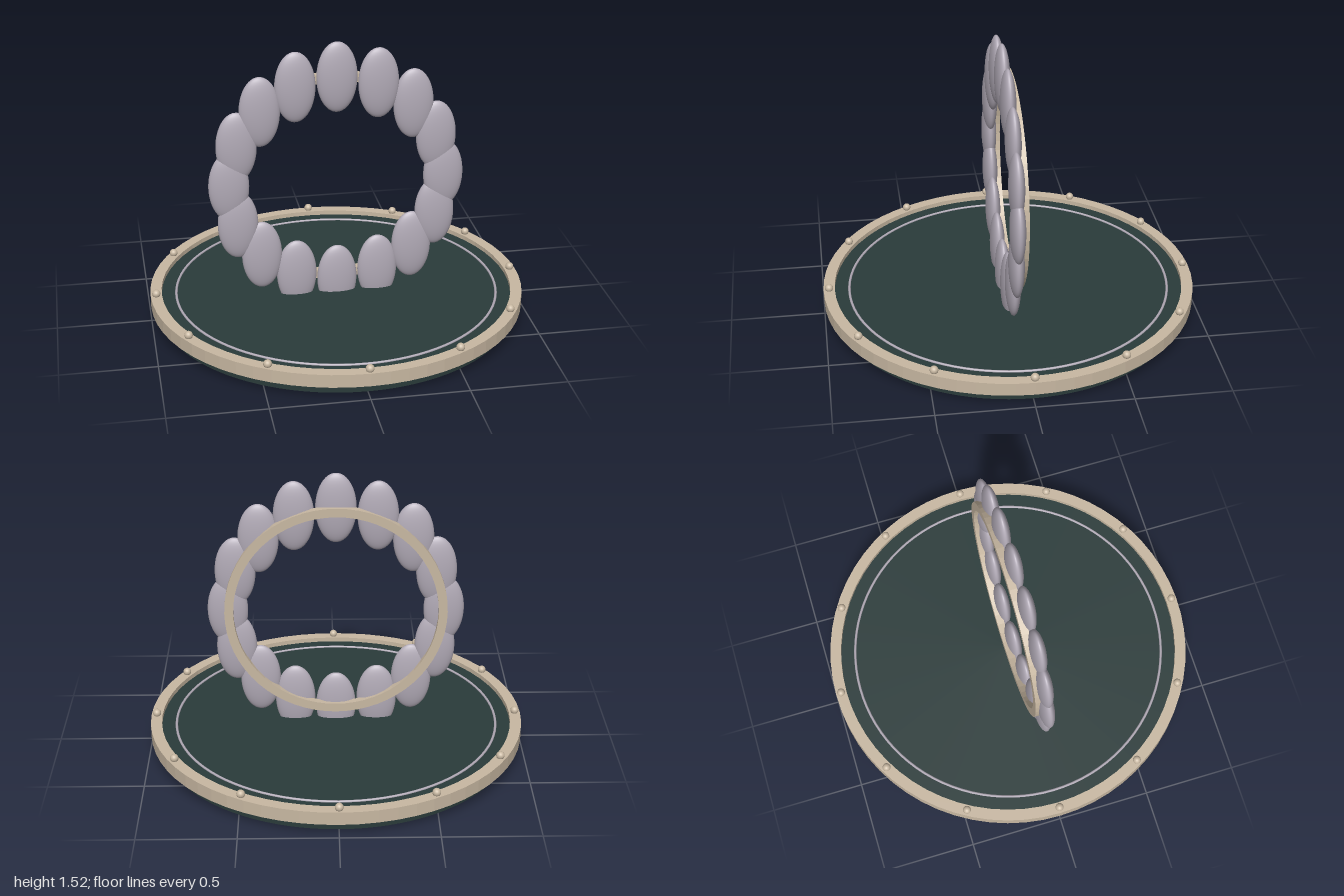
import * as THREE from 'three';

const green = new THREE.MeshStandardMaterial({ name: 'dark green', color: 0x2a3b3a });
const beige = new THREE.MeshStandardMaterial({ name: 'warm beige', color: 0xc8b8a2 });
const lilac = new THREE.MeshStandardMaterial({ name: 'grey lilac', color: 0xb1aab6 });

// Flat band with a rectangular section, extruded along +z
function band(outer, inner, depth, segments) {
  const shape = new THREE.Shape().absarc(0, 0, outer, 0, Math.PI * 2);
  shape.holes.push(new THREE.Path().absarc(0, 0, inner, 0, Math.PI * 2, true));
  return new THREE.ExtrudeGeometry(shape, { depth, bevelEnabled: false, curveSegments: segments });
}

export function createModel() {
  const model = new THREE.Group();
  model.name = 'petalRingOnTray';

  const add = (name, geometry, material, x = 0, y = 0, z = 0, parent = model) => {
    const mesh = new THREE.Mesh(geometry, material);
    mesh.name = name;
    mesh.position.set(x, y, z);
    parent.add(mesh);
    return mesh;
  };

  // Tray: dark disc, raised rim and thin inlaid ring
  add('trayDisc', new THREE.CylinderGeometry(0.953, 0.953, 0.1, 96), green, 0, 0.075, 0);
  add('trayRim', band(1, 0.94, 0.07, 32), beige, 0, 0.08, 0).rotation.x = -Math.PI / 2;
  model.getObjectByName('trayRim').position.y = 0.08;
  add('inlaidRing', new THREE.TorusGeometry(0.862, 0.007, 8, 96), lilac, 0, 0.127, 0).rotation.x = Math.PI / 2;

  // Studs around the rim
  const studs = new THREE.Group();
  studs.name = 'rimStuds';
  model.add(studs);
  const studGeometry = new THREE.SphereGeometry(0.022, 16, 12);
  for (let i = 0; i < 12; i++) {
    const a = (i / 12) * Math.PI * 2;
    add('rimStud', studGeometry, beige, Math.cos(a) * 0.97, 0.163, Math.sin(a) * 0.97, studs);
  }

  // Upright wreath of flattened, upright petals
  const centreY = 0.765;
  const petals = new THREE.Group();
  petals.name = 'petals';
  model.add(petals);
  const petalGeometry = new THREE.SphereGeometry(1, 32, 24).scale(0.107, 0.19, 0.04);
  for (let i = 0; i < 16; i++) {
    const a = (i / 16) * Math.PI * 2;
    add('petal', petalGeometry, lilac, Math.cos(a) * 0.57, centreY + Math.sin(a) * 0.57, 0.03, petals);
  }

  // Backing hoop behind the petals
  add('backHoop', band(0.587, 0.54, 0.04, 32), beige, 0, centreY, -0.028);

  return model;
}
